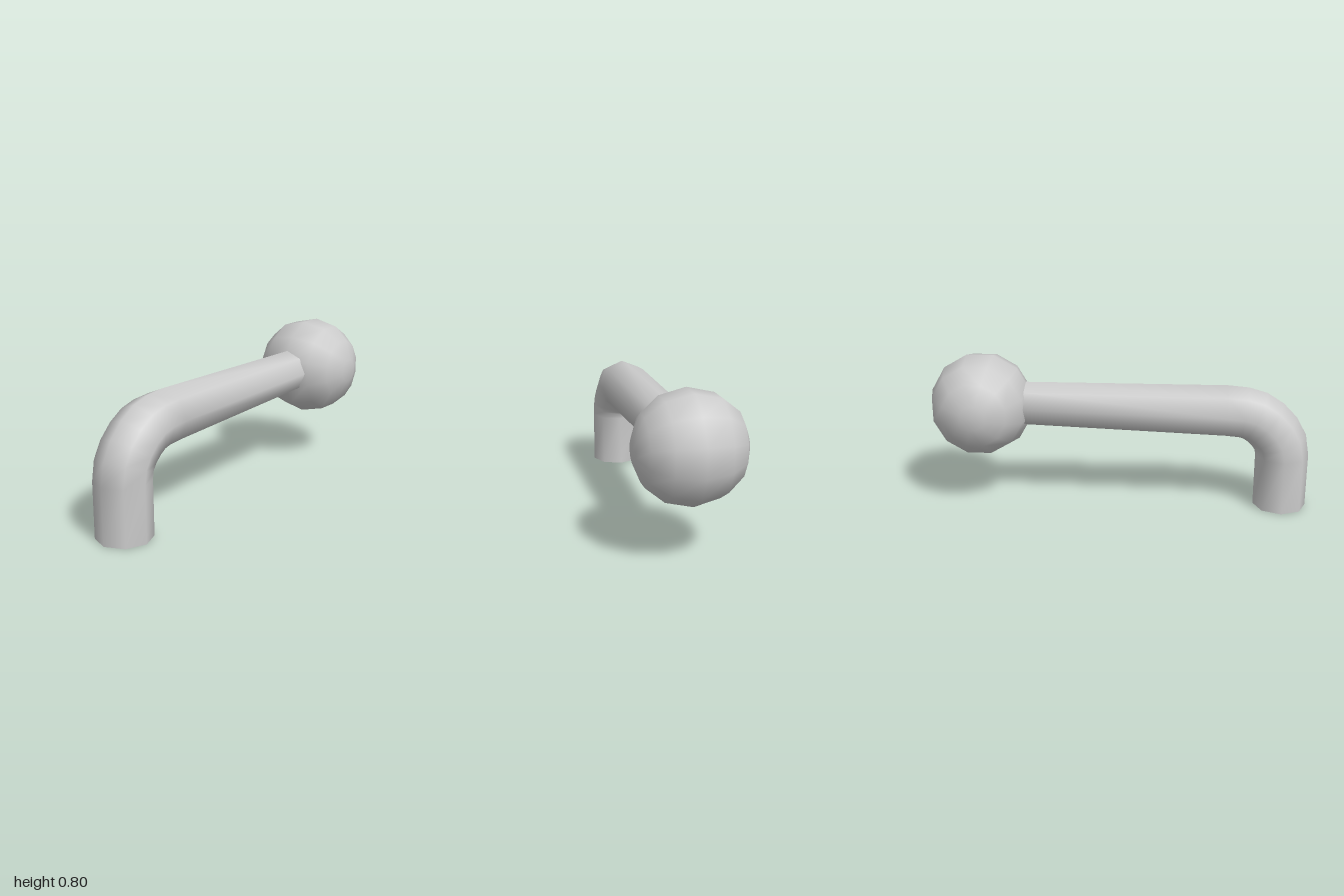
import * as THREE from 'three';

// Smooth eight-sided tube skinned over rings [x, y, radius] lying in the z = 0 plane
function sweep(rings, sides) {
  const pos = [], index = [];
  rings.forEach(([x, y, r], i) => {
    const a = rings[Math.max(i - 1, 0)], b = rings[Math.min(i + 1, rings.length - 1)];
    const dir = new THREE.Vector2(b[0] - a[0], b[1] - a[1]).normalize();
    if (i < 2 && a[0] === x) dir.set(0, 1);
    for (let j = 0; j < sides; j++) {
      const t = (j / sides) * Math.PI * 2;
      const n = r * Math.cos(t);
      pos.push(x - dir.y * n, y + dir.x * n, r * Math.sin(t));
      if (i > 0) {
        const k = (j + 1) % sides, p = (i - 1) * sides, q = i * sides;
        index.push(p + j, p + k, q + k, p + j, q + k, q + j);
      }
    }
  });
  const g = new THREE.BufferGeometry();
  g.setAttribute('position', new THREE.Float32BufferAttribute(pos, 3));
  g.setIndex(index);
  g.computeVertexNormals();
  return g;
}

export function createModel() {
  const group = new THREE.Group();
  group.name = 'leverHandle';
  const material = new THREE.MeshStandardMaterial({ color: 0xcccccc, side: THREE.DoubleSide });

  // Bent lever arm, open at both ends, tapering towards the knob
  const arm = new THREE.Mesh(sweep([
    [-0.86, 0, 0.14], [-0.86, 0.285, 0.14], [-0.848, 0.355, 0.14], [-0.817, 0.41, 0.14],
    [-0.766, 0.463, 0.14], [-0.71, 0.499, 0.14], [-0.65, 0.516, 0.14], [-0.56, 0.524, 0.14],
    [0.5, 0.543, 0.119],
  ], 8), material);
  arm.name = 'arm';
  group.add(arm);

  // Twelve-sided ball knob with small flat poles on the z axis
  const half = [[0.273, 0], [0.242, 0.132], [0.168, 0.221], [0.064, 0.265], [0, 0.265]];
  const profile = [...half.slice(1).reverse().map(([r, z]) => [r, -z]), ...half]
    .map(([r, z]) => new THREE.Vector2(r, z));
  const ball = new THREE.LatheGeometry(profile, 12, Math.PI / 12);
  ball.rotateX(Math.PI / 2);
  const knob = new THREE.Mesh(ball, material);
  knob.name = 'knob';
  knob.position.set(0.736, 0.54, 0);
  group.add(knob);

  return group;
}
